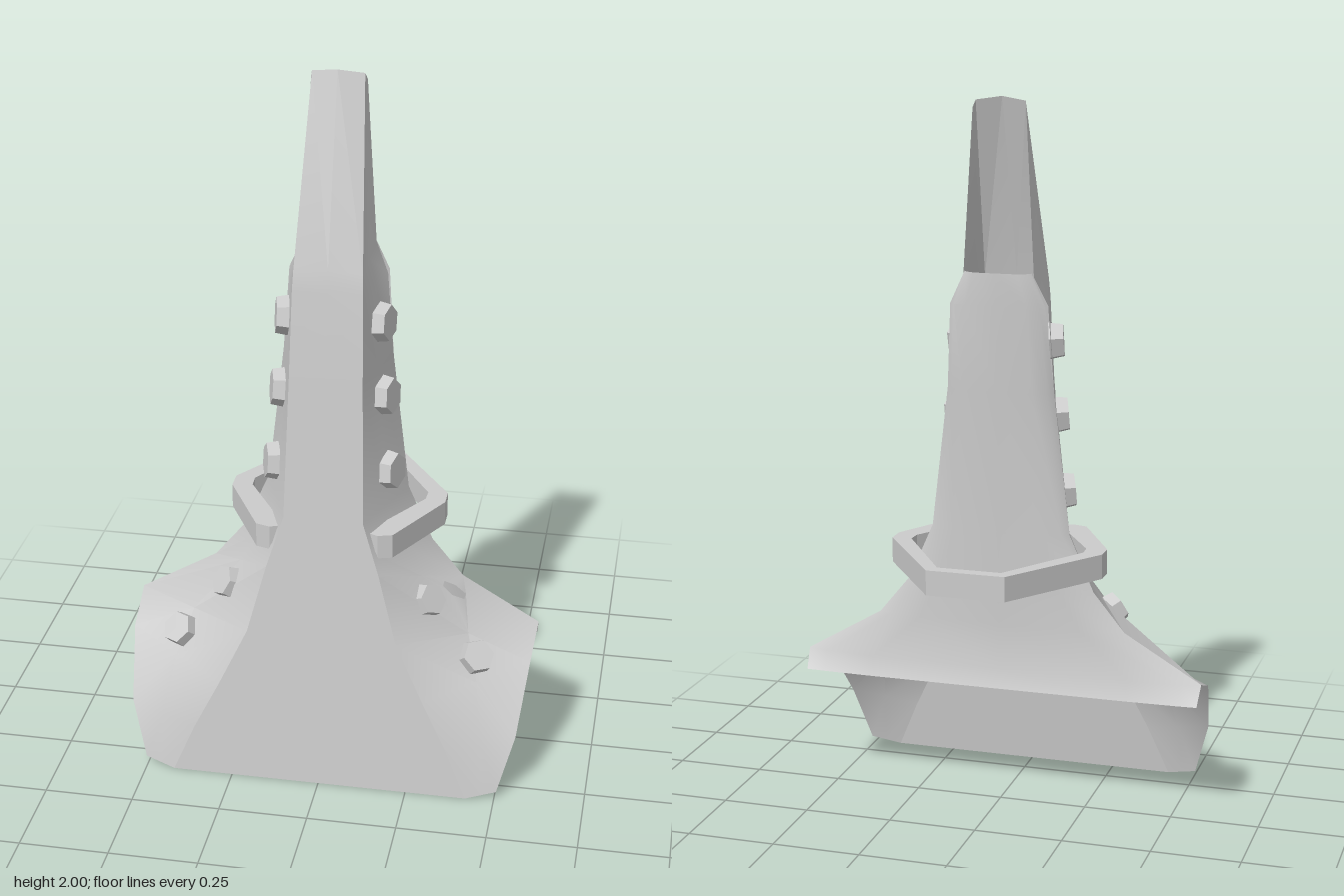
import * as THREE from 'three';
import { toCreasedNormals } from 'three/addons/utils/BufferGeometryUtils.js';

const grey = new THREE.MeshStandardMaterial({ color: 0xcccccc, side: THREE.DoubleSide });
const faceted = new THREE.MeshStandardMaterial({ color: 0xcccccc, flatShading: true });

// Matching points down the left side: front edge of the shin, outer/back edge of the wing
const frontEdge = [
  [0.07, 1.99, 0], [0.093, 1.49, 0.157], [0.095, 1.44, 0.167], [0.1, 1.2, 0.194], [0.11, 0.8, 0.24],
  [0.135, 0.72, 0.249], [0.157, 0.65, 0.257], [0.21, 0.45, 0.279], [0.29, 0.28, 0.298],
  [0.36, 0.14, 0.314], [0.42, 0, 0.33],
];
const outerEdge = [
  [0.075, 1.97, -0.012], [0.1, 1.52, -0.02], [0.135, 1.44, 0], [0.153, 1.2, 0], [0.2, 0.8, 0],
  [0.27, 0.64, 0], [0.36, 0.53, 0], [0.58, 0.4, 0], [0.572, 0.35, 0.14],
  [0.55, 0.18, 0.27], [0.505, 0.02, 0.312],
];

// Point on the side surface: row r down the edges, f from front edge to outer edge
function sidePoint(r, f, side) {
  const i = Math.min(Math.floor(r), frontEdge.length - 2);
  const at = (edge) => new THREE.Vector3(...edge[i]).lerp(new THREE.Vector3(...edge[i + 1]), r - i);
  const p = at(frontEdge).lerp(at(outerEdge), f);
  p.x *= side;
  return p;
}

function meshFrom(triangles, name, crease) {
  const geo = new THREE.BufferGeometry().setFromPoints(triangles);
  geo.computeVertexNormals();
  const mesh = new THREE.Mesh(toCreasedNormals(geo, crease), grey);
  mesh.name = name;
  return mesh;
}

function gridTriangles(rows) {
  const out = [];
  for (let i = 0; i < rows.length - 1; i++) {
    for (let j = 0; j < rows[i].length - 1; j++) {
      const a = rows[i][j], b = rows[i + 1][j], c = rows[i + 1][j + 1], d = rows[i][j + 1];
      out.push(a, b, c, a, c, d);
    }
  }
  return out;
}

// Side wall flaring into a wing; the left one has an empty bolt hole
function sideWing(side) {
  const tris = [];
  for (let r = 0; r < frontEdge.length - 1; r++) {
    for (const f of [0, 0.5]) {
      const corners = [[r, f], [r + 1, f], [r + 1, f + 0.5], [r, f + 0.5]].map((c) => new THREE.Vector2(...c));
      const hole = [];
      if (side > 0 && r === 6 && f === 0.5) {
        for (let k = 0; k < 6; k++) {
          const a = (k * Math.PI) / 3;
          hole.push(new THREE.Vector2(6.27 + 0.17 * Math.cos(a), 0.7 + 0.075 * Math.sin(a)));
        }
      }
      const all = [...corners, ...hole];
      for (const face of THREE.ShapeUtils.triangulateShape(corners, hole.length ? [hole] : [])) {
        const pts = face.map((n) => sidePoint(all[n].x, all[n].y, side));
        if (side > 0) pts.reverse();
        tris.push(...pts);
      }
    }
  }
  return meshFrom(tris, side > 0 ? 'leftWing' : 'rightWing', 0.5);
}

// Hexagonal bolt head standing on the side surface
function bolt(r, f, side, radius) {
  const p = sidePoint(r, f, side);
  const down = sidePoint(r + 0.05, f, side).sub(p);
  const across = sidePoint(r, f + 0.05, side).sub(p);
  const normal = down.cross(across).normalize();
  if (normal.x * side < 0) normal.negate();
  const mesh = new THREE.Mesh(new THREE.CylinderGeometry(radius * 0.88, radius, 0.04, 6), faceted);
  mesh.quaternion.setFromUnitVectors(new THREE.Vector3(0, 1, 0), normal);
  mesh.position.copy(p).addScaledVector(normal, 0.014);
  mesh.name = 'bolt';
  return mesh;
}

export function createModel() {
  const model = new THREE.Group();

  // Front plate: slightly ridged at the top, widening to the blade at the bottom
  const frontRows = frontEdge.map(([x, y, z], i) => [
    new THREE.Vector3(-x, y, z),
    new THREE.Vector3(0, i < 2 ? y + 0.01 : y, i === 0 ? 0.015 : z),
    new THREE.Vector3(x, y, z),
  ]);
  model.add(meshFrom(gridTriangles(frontRows), 'frontPlate', 0.2));

  // Back panel: [y, half width, centre z, edge z], with a folded top lip and a flared skirt
  const backProfile = [
    [1.515, 0.085, -0.03, -0.02], [1.53, 0.095, -0.05, -0.025], [1.44, 0.135, -0.05, -0.03],
    [1.2, 0.153, -0.035, 0], [0.8, 0.2, -0.025, 0], [0.64, 0.27, -0.022, 0],
    [0.53, 0.36, -0.02, 0], [0.4, 0.58, -0.025, 0], [0.345, 0.575, -0.042, -0.036],
  ];
  const backRows = backProfile.map(([y, x, zc, ze]) =>
    [1, 0.9, 0.65, 0, -0.65, -0.9, -1].map((u) => {
      const z = Math.abs(u) === 1 ? ze : Math.abs(u) === 0.9 ? (zc + ze) / 2 : zc;
      return new THREE.Vector3(u * x, y, z);
    }));
  model.add(meshFrom(gridTriangles(backRows), 'backPanel', 0.7));

  // Wings and their bolts
  for (const side of [1, -1]) {
    model.add(sideWing(side));
    const bolts = new THREE.Group();
    bolts.name = side > 0 ? 'leftBolts' : 'rightBolts';
    for (const r of [2.46, 3.2, 3.75]) bolts.add(bolt(r, 0.57, side, 0.056));
    bolts.add(bolt(6.4, 0.37, side, 0.05), bolt(7.5, 0.52, side, 0.052));
    model.add(bolts);
  }

  // Angular carrying loop around the back, ending on the front edges
  const outer = [[0.11, 0.22], [0.15, 0.237], [0.19, 0.225], [0.305, 0.01], [0.305, -0.045], [0.11, -0.33]];
  const inner = [[0.09, -0.295], [0.25, -0.04], [0.248, 0], [0.125, 0.2]];
  const mirror = (pts) => pts.map(([x, z]) => [-x, z]).reverse();
  const outline = [...outer, ...mirror(outer), ...mirror(inner), ...inner];
  const loopShape = new THREE.Shape(outline.map((p) => new THREE.Vector2(...p)));
  const loopGeo = new THREE.ExtrudeGeometry(loopShape, { depth: 0.07, bevelEnabled: false });
  loopGeo.rotateX(Math.PI / 2);
  const loop = new THREE.Mesh(loopGeo, faceted);
  loop.position.y = 0.765;
  loop.name = 'handleLoop';
  model.add(loop);

  return model;
}
